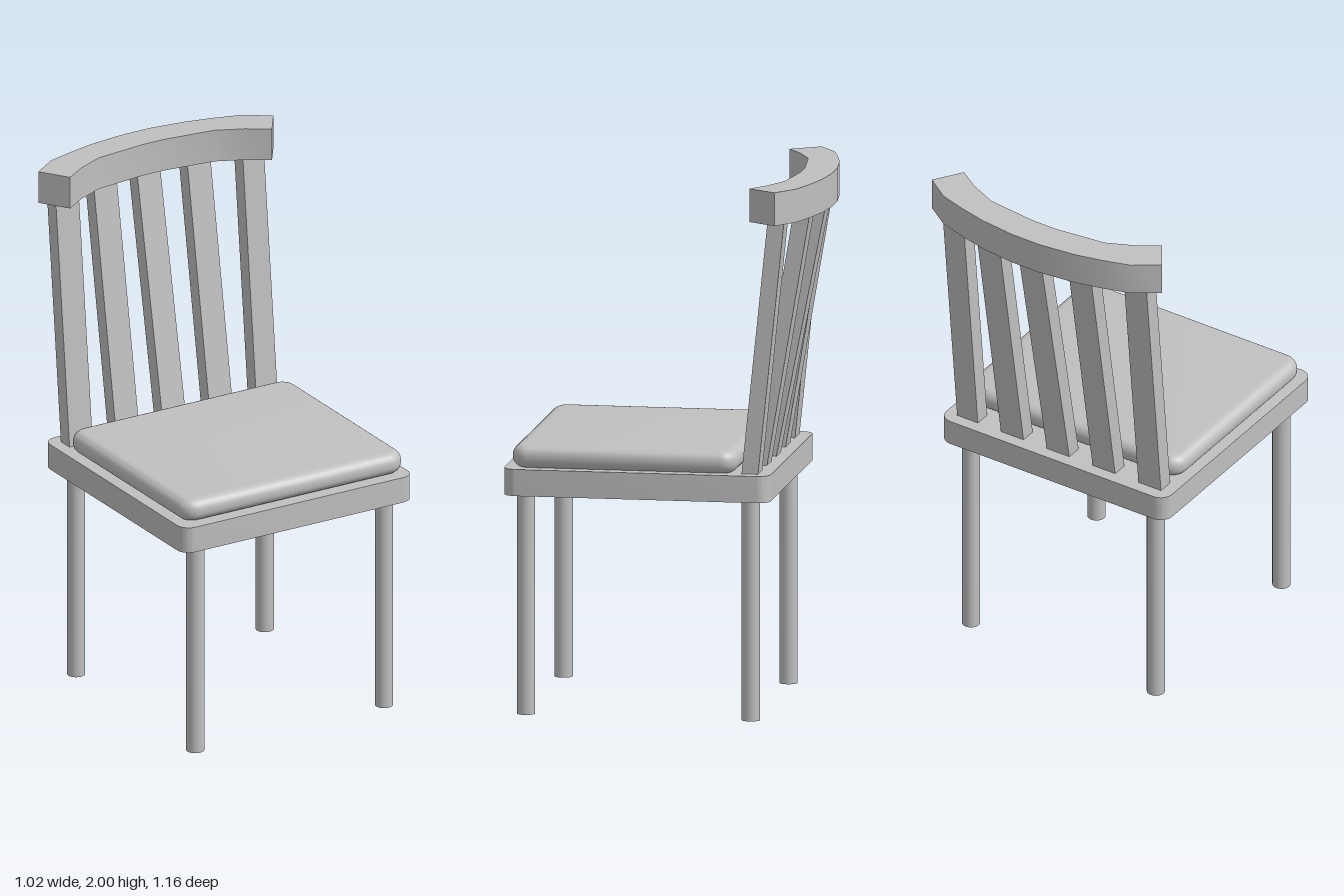
import * as THREE from 'three';
import { toCreasedNormals } from 'three/addons/utils/BufferGeometryUtils.js';

// Rounded rectangle in plan (x, z)
function roundedRect(x0, x1, z0, z1, r) {
  const s = new THREE.Shape();
  s.absarc(x1 - r, z1 - r, r, 0, Math.PI / 2);
  s.absarc(x0 + r, z1 - r, r, Math.PI / 2, Math.PI);
  s.absarc(x0 + r, z0 + r, r, Math.PI, Math.PI * 1.5);
  s.absarc(x1 - r, z0 + r, r, Math.PI * 1.5, Math.PI * 2);
  s.closePath();
  return s;
}

// Plan shape extruded downwards from height top to bottom, with an optional rounded edge
function slab(shape, bottom, top, bevel = 0) {
  const geo = new THREE.ExtrudeGeometry(shape, {
    depth: top - bottom - 2 * bevel, curveSegments: 6,
    bevelEnabled: bevel > 0, bevelThickness: bevel, bevelSize: bevel, bevelSegments: 6,
  });
  geo.rotateX(Math.PI / 2).translate(0, top - bevel, 0);
  return toCreasedNormals(geo, 0.5);
}

export function createModel() {
  const chair = new THREE.Group();
  chair.name = 'chair';
  const grey = new THREE.MeshStandardMaterial({ color: 0xc0c0c0 });
  grey.name = 'grey';
  const add = (name, geo) => {
    const mesh = new THREE.Mesh(geo, grey);
    mesh.name = name;
    chair.add(mesh);
    return mesh;
  };

  // Seat board and cushion
  add('seat', slab(roundedRect(-0.505, 0.495, -0.42, 0.58, 0.05), 0.83, 0.93));
  const b = 0.038;
  add('cushion', slab(roundedRect(-0.48 + b, 0.48 - b, -0.294 + b, 0.552 - b, 0.025), 0.93, 1.015, b));

  // Four round legs
  for (const x of [-0.412, 0.407]) {
    for (const z of [0.506, -0.338]) {
      add(z > 0 ? 'frontLeg' : 'backLeg', new THREE.CylinderGeometry(0.034, 0.034, 0.83, 24))
        .position.set(x, 0.415, z);
    }
  }

  // Back slats, leaning further back towards the middle
  const lean = [0.097, 0.16, 0.185, 0.16, 0.097];
  [-0.407, -0.204, -0.001, 0.202, 0.4].forEach((x, i) => {
    const geo = new THREE.BoxGeometry(i === 4 ? 0.092 : 0.1, 0.945, 0.062);
    const p = geo.attributes.position;
    for (let k = 0; k < p.count; k++) if (p.getY(k) > 0) p.setZ(k, p.getZ(k) - lean[i]);
    geo.computeVertexNormals();
    add('backSlat', geo).position.set(x, 1.4025, -0.341);
  });

  // Curved top rail: half outlines, mirrored across x
  const outer = [[0.51, -0.445], [0.415, -0.511], [0.31, -0.542], [0.2, -0.567], [0.06, -0.583]];
  const inner = [[0.05, -0.463], [0.25, -0.44], [0.355, -0.393], [0.438, -0.338]];
  const mirror = (pts) => pts.map(([x, z]) => [-x, z]).reverse();
  const outline = [...outer, ...mirror(outer), ...mirror(inner), ...inner];
  const rail = new THREE.Shape(outline.map(([x, z]) => new THREE.Vector2(x, z)));
  add('topRail', slab(rail, 1.875, 2));

  return chair;
}
